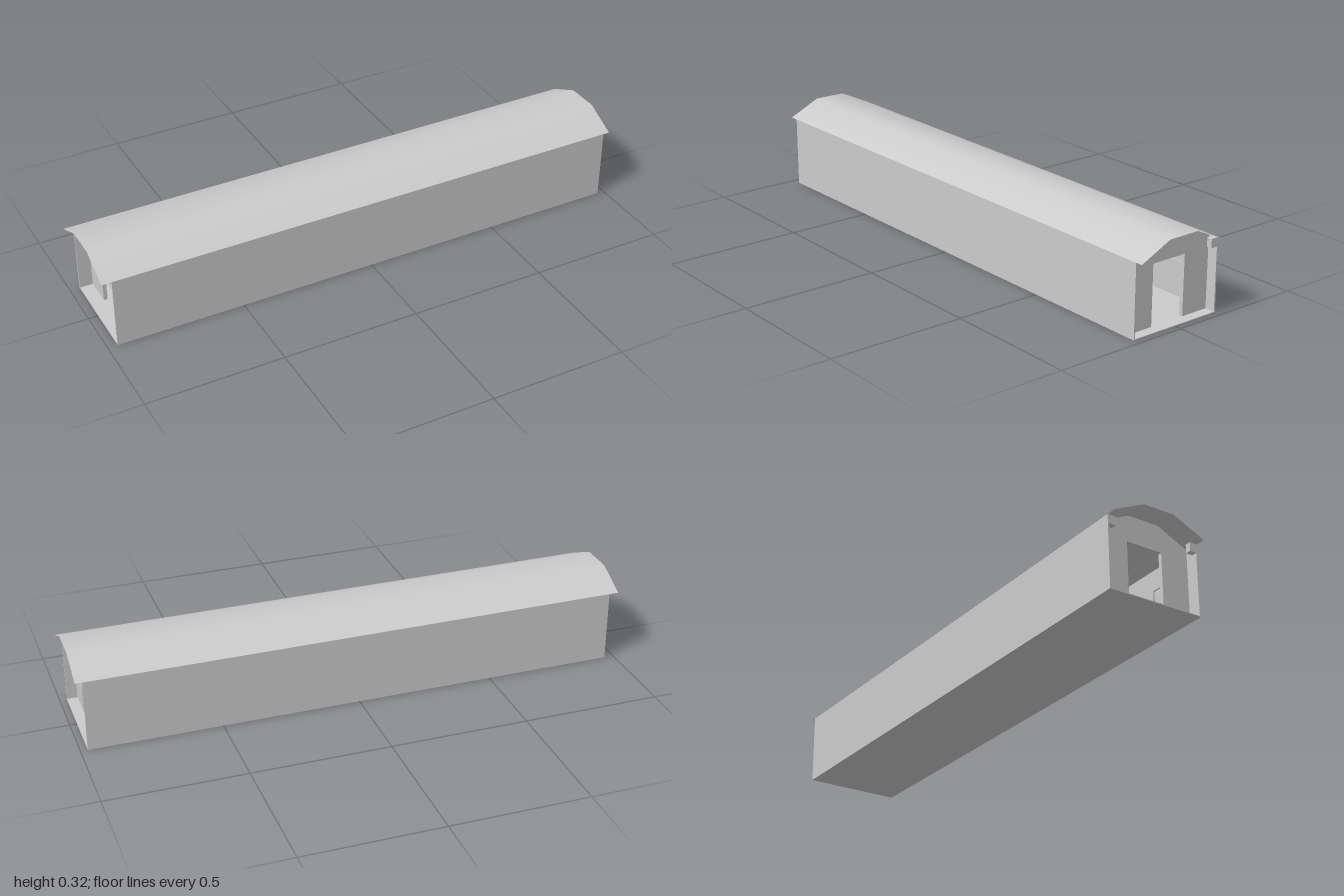
import * as THREE from 'three';

const material = new THREE.MeshStandardMaterial({ color: 0xcccccc, side: THREE.DoubleSide });

// Body ends, wall faces and heights
const X0 = -0.965, X1 = 0.975, HALF = 0.18, EAVES = 0.262, RIDGE = 0.318;

function add(parent, name, geometry) {
  const mesh = new THREE.Mesh(geometry, material);
  mesh.name = name;
  parent.add(mesh);
  return mesh;
}

// Box given by its extents on each axis
function box(parent, name, [x0, x1], [y0, y1], [z0, z1]) {
  const mesh = add(parent, name, new THREE.BoxGeometry(x1 - x0, y1 - y0, Math.abs(z1 - z0)));
  mesh.position.set((x0 + x1) / 2, (y0 + y1) / 2, (z0 + z1) / 2);
  return mesh;
}

// Thin three-facet roof sheet with shading smoothed across the bends
function roofGeometry() {
  const profile = [[HALF, EAVES], [0.06, RIDGE], [-0.06, RIDGE], [-HALF, EAVES]];
  const positions = [], indices = [];
  profile.forEach(([z, y], i) => {
    positions.push(-1, y, z, 1, y, z);
    if (i < profile.length - 1) {
      const a = i * 2;
      indices.push(a, a + 1, a + 3, a, a + 3, a + 2);
    }
  });
  const geometry = new THREE.BufferGeometry();
  geometry.setAttribute('position', new THREE.Float32BufferAttribute(positions, 3));
  geometry.setIndex(indices);
  geometry.computeVertexNormals();
  return geometry;
}

// Cross wall following the roof line, with a doorway down to the floor
function bulkheadGeometry(thickness) {
  const shape = new THREE.Shape([
    [-0.175, 0], [-0.069, 0], [-0.069, 0.22], [0.069, 0.22], [0.069, 0], [0.175, 0],
    [0.175, EAVES], [0.06, RIDGE - 0.001], [-0.06, RIDGE - 0.001], [-0.175, EAVES],
  ].map(([x, y]) => new THREE.Vector2(x, y)));
  return new THREE.ExtrudeGeometry(shape, { depth: thickness, bevelEnabled: false })
    .translate(0, 0, -thickness / 2)
    .rotateY(Math.PI / 2);
}

export function createModel() {
  const model = new THREE.Group();
  model.name = 'carriageBody';

  box(model, 'floor', [X0, X1], [0, 0.003], [-HALF, HALF]);
  add(model, 'roof', roofGeometry());

  // Bulkheads set in from the open ends
  for (const [name, x] of [['rightBulkhead', -0.91], ['leftBulkhead', 0.93]]) {
    add(model, name, bulkheadGeometry(0.014)).position.x = x;
  }

  for (const side of [1, -1]) {
    const label = side > 0 ? 'front' : 'back';
    box(model, label + 'Wall', [X0, X1], [0, EAVES], [side * 0.175, side * HALF]);

    // Small brackets under the roof at each end
    for (const [x0, x1] of [[X0, X0 + 0.02], [X1 - 0.02, X1]]) {
      box(model, label + 'Bracket', [x0, x1], [0.23, EAVES], [side * 0.15, side * 0.175]);
    }

    // Window frames along the inner face of the wall
    const frames = new THREE.Group();
    frames.name = label + 'WindowFrames';
    model.add(frames);
    const count = 10, pitch = 0.18;
    for (let i = 0; i < count; i++) {
      const x = 0.01 + (i - (count - 1) / 2) * pitch;
      const z = [side * 0.17, side * 0.175];
      box(frames, 'sill', [x - 0.06, x + 0.06], [0.125, 0.131], z);
      box(frames, 'header', [x - 0.06, x + 0.06], [0.184, 0.19], z);
      for (const s of [-1, 1]) {
        box(frames, 'jamb', [x + s * 0.057 - 0.003, x + s * 0.057 + 0.003], [0.131, 0.184], z);
      }
    }
  }
  return model;
}
